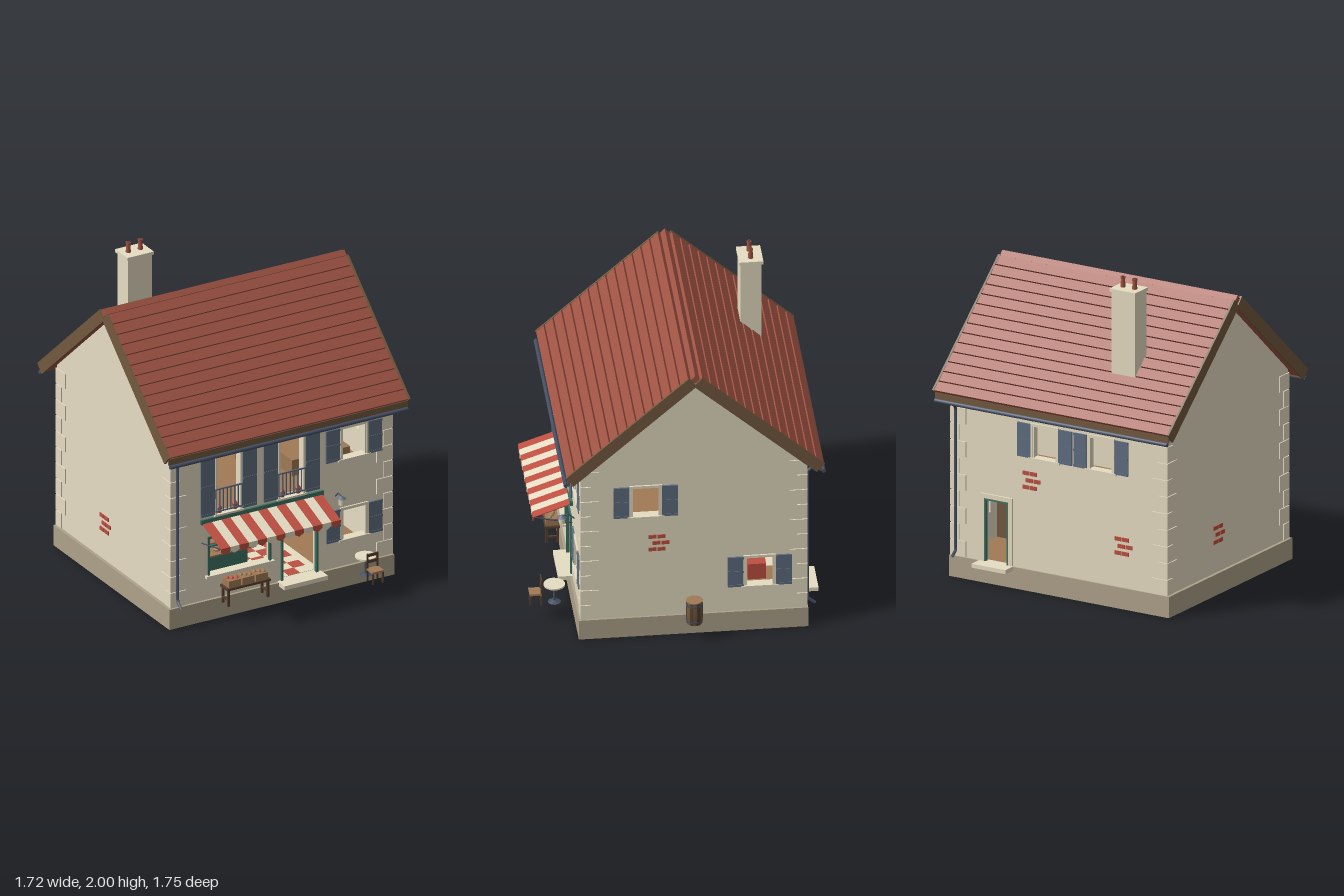
import * as THREE from 'three';
import { mergeGeometries } from 'three/addons/utils/BufferGeometryUtils.js';

const mat = (name, color) => {
  const m = new THREE.MeshStandardMaterial({ color });
  m.name = name;
  return m;
};

export function createModel() {
  const root = new THREE.Group();
  root.name = 'shopHouse';
  const M = {
    cream: mat('cream render', 0xe7ddc3), stone: mat('plinth stone', 0xaea28a),
    roof: mat('roof tile', 0x9e5242), red: mat('red', 0xbe5041),
    blue: mat('slate blue', 0x5f6d80), green: mat('shop green', 0x3d7464),
    timber: mat('roof timber', 0x73593f), dark: mat('dark wood', 0x563f2e),
    wood: mat('light wood', 0xa17a56), iron: mat('dark iron', 0x465064),
  };
  const add = (p, name, geo, m, x = 0, y = 0, z = 0) => {
    const o = new THREE.Mesh(geo, m);
    o.name = name;
    o.position.set(x, y, z);
    p.add(o);
    return o;
  };
  // Box given by its size and centre
  const box = (p, name, m, w, h, d, x, y, z) => add(p, name, new THREE.BoxGeometry(w, h, d), m, x, y, z);
  // Box given by its limits
  const span = (p, name, m, x0, x1, y0, y1, z0, z1) =>
    box(p, name, m, x1 - x0, y1 - y0, z1 - z0, (x0 + x1) / 2, (y0 + y1) / 2, (z0 + z1) / 2);
  const cyl = (p, name, m, rt, rb, h, n, x, y, z) => add(p, name, new THREE.CylinderGeometry(rt, rb, h, n), m, x, y, z);
  const tube = (p, name, m, pts, r) => {
    const path = new THREE.CurvePath();
    const v = pts.map(a => new THREE.Vector3(...a));
    for (let i = 1; i < v.length; i++) path.add(new THREE.LineCurve3(v[i - 1], v[i]));
    return add(p, name, new THREE.TubeGeometry(path, pts.length > 2 ? 40 : 1, r, 6), m);
  };
  const group = (name, x = 0, y = 0, z = 0, ry = 0) => {
    const g = new THREE.Group();
    g.name = name;
    g.position.set(x, y, z);
    g.rotation.y = ry;
    root.add(g);
    return g;
  };

  // House limits
  const X0 = -0.785, X1 = 0.735, Z0 = -0.765, Z1 = 0.585, RZ = -0.09, RY = 1.785, EAVE = 1.188;

  // Each wall group has local x along the wall and +z outward; openings are [centre, bottom, width, height]
  const front = group('frontWall', 0, 0, Z1);
  const back = group('backWall', 0, 0, Z0, Math.PI);
  const right = group('rightGableWall', X1, 0, 0, Math.PI / 2);
  const left = group('leftGableWall', X0, 0, 0, -Math.PI / 2);
  function wall(g, outline, holes) {
    const s = new THREE.Shape(outline.map(a => new THREE.Vector2(...a)));
    for (const [c, y, w, h] of holes) {
      s.holes.push(new THREE.Path([[c - w / 2, y], [c - w / 2, y + h], [c + w / 2, y + h], [c + w / 2, y]]
        .map(a => new THREE.Vector2(...a))));
    }
    add(g, 'wall', new THREE.ExtrudeGeometry(s, { depth: 0.045, bevelEnabled: false }), M.cream, 0, 0, -0.045);
  }
  const rect = (a, b) => [[a, 0.1], [b, 0.1], [b, EAVE], [a, EAVE]];
  const gable = (a, b, c) => [[a, 0.1], [b, 0.1], [b, EAVE], [c, RY], [a, EAVE]];
  wall(front, rect(X0, X1), [[-0.39, 0.68, 0.16, 0.375], [0.045, 0.68, 0.16, 0.375], [0.475, 0.84, 0.165, 0.2],
    [0.478, 0.31, 0.165, 0.195], [-0.315, 0.29, 0.43, 0.25], [0.1, 0.13, 0.24, 0.4]]);
  wall(back, rect(-X1, -X0), [[-0.075, 0.84, 0.165, 0.2], [0.322, 0.84, 0.165, 0.2], [-0.415, 0.13, 0.17, 0.4]]);
  wall(right, gable(-Z1, -Z0, -RZ), [[-0.2, 0.84, 0.165, 0.2], [0.485, 0.31, 0.165, 0.195]]);
  wall(left, gable(Z0, Z1, RZ), []);

  // Plinth and alternating corner stones
  span(root, 'plinth', M.stone, -0.805, 0.747, 0, 0.132, -0.775, 0.602);
  for (const sx of [-1, 1]) for (const sz of [-1, 1]) for (let i = 0; i < 10; i++) {
    const a = i % 2 ? 0.065 : 0.11, b = i % 2 ? 0.11 : 0.065, e = 0.007;
    box(root, 'cornerStone', M.cream, a, 0.098, b, sx < 0 ? X0 - e + a / 2 : X1 + e - a / 2, 0.183 + i * 0.104,
      sz < 0 ? Z0 - e + b / 2 : Z1 + e - b / 2);
  }

  // Surround of an opening
  function surround(g, m, c, y, w, h, t, d, name) {
    for (const s of [-1, 1]) box(g, name, m, t, h + t, d, c + s * (w + t) / 2, y + (h + t) / 2, 0);
    box(g, name, m, w, t, d, c, y + h + t / 2, 0);
  }
  function shutters(g, c, y, h) {
    for (const s of [-1, 1]) {
      const x = c + s * 0.145;
      box(g, 'shutter', M.blue, 0.095, h, 0.01, x, y + h / 2, 0.004);
      for (const k of [0.03, 0.5, 0.97]) box(g, 'shutterRail', M.blue, 0.095, 0.014, 0.014, x, y + h * k, 0.005);
    }
  }
  function windowAt(g, c, y, h = 0.2) {
    surround(g, M.cream, c, y, 0.165, h, 0.014, 0.02, 'windowSurround');
    box(g, 'windowSill', M.cream, 0.22, 0.014, 0.03, c, y - 0.007, 0.002);
    surround(g, M.cream, c, y, 0.153, h - 0.006, 0.006, 0.012, 'windowFrame');
    shutters(g, c, y - 0.004, h + 0.01);
  }
  windowAt(front, 0.475, 0.84);
  windowAt(front, 0.478, 0.31, 0.195);
  windowAt(back, -0.075, 0.84);
  windowAt(back, 0.322, 0.84);
  windowAt(right, -0.2, 0.84);
  windowAt(right, 0.485, 0.31, 0.195);

  // Tall upper windows with railings and flower pots
  for (const c of [-0.39, 0.045]) {
    surround(front, M.cream, c, 0.68, 0.16, 0.375, 0.014, 0.02, 'windowSurround');
    box(front, 'windowSill', M.cream, 0.2, 0.014, 0.05, c, 0.673, -0.01);
    shutters(front, c, 0.68, 0.39);
    for (const y of [0.7, 0.845]) box(front, 'railing', M.blue, 0.19, 0.008, 0.008, c, y, 0.01);
    for (let i = 0; i < 8; i++) box(front, 'railingBar', M.blue, 0.006, 0.15, 0.006, c - 0.091 + i * 0.026, 0.772, 0.01);
    for (const s of [-1, 1]) {
      cyl(front, 'flowerPot', M.roof, 0.019, 0.014, 0.035, 8, c + s * 0.055, 0.698, -0.014);
      cyl(front, 'potPlant', M.red, 0.006, 0.016, 0.018, 6, c + s * 0.055, 0.724, -0.014);
    }
  }

  // Shop window, doors and steps
  surround(front, M.green, -0.315, 0.29, 0.41, 0.24, 0.014, 0.02, 'shopWindowFrame');
  box(front, 'shopSill', M.cream, 0.47, 0.016, 0.04, -0.315, 0.283, 0.003);
  box(front, 'shopTransom', M.green, 0.41, 0.009, 0.015, -0.315, 0.48, 0);
  surround(front, M.green, 0.1, 0.13, 0.225, 0.39, 0.016, 0.02, 'shopDoorFrame');
  span(front, 'frontStep', M.cream, -0.05, 0.25, 0.11, 0.137, -0.03, 0.085);
  surround(back, M.cream, -0.415, 0.13, 0.17, 0.4, 0.028, 0.024, 'backDoorSurround');
  surround(back, M.green, -0.415, 0.13, 0.15, 0.388, 0.012, 0.02, 'backDoorFrame');
  span(back, 'backStep', M.cream, -0.535, -0.295, 0.11, 0.135, -0.03, 0.095);

  // Patches of bare brick
  function bricks(g, c, y) {
    for (let r = -1; r <= 1; r++) for (const s of [-1, 1])
      box(g, 'bareBrick', M.red, 0.047, 0.024, 0.008, c + s * 0.027 + (r ? -0.012 : 0.012), y + r * 0.044, 0.002);
  }
  bricks(right, -0.12, 0.645);
  bricks(back, -0.17, 0.69);
  bricks(back, 0.48, 0.39);
  bricks(left, -0.19, 0.37);

  // Roof slopes: local z runs down the slope, with a groove between tile rows
  const L = 0.985, ROWS = 14, RX0 = -0.862, RX1 = 0.81, step = L / ROWS;
  for (const ry of [0, Math.PI]) {
    const g = group('roofSlope', 0, RY, RZ);
    g.rotation.order = 'YXZ';
    g.rotation.set(0.724, ry, 0);
    const k = ry ? -1 : 1, cx = k * (RX0 + RX1) / 2, w = RX1 - RX0;
    box(g, 'roofDeck', M.roof, w - 0.024, 0.038, L - 0.01, cx, 0.019, L / 2);
    for (let i = 0; i < ROWS; i++)
      box(g, 'tileRow', M.roof, w - 0.022, 0.024, step - 0.009, cx, 0.046, (i + 0.5) * step).rotation.x = 0.04;
    for (const s of [-1, 1]) box(g, 'bargeBoard', M.timber, 0.014, 0.074, L, cx + s * (w / 2 - 0.007), 0.023, L / 2);
  }
  box(root, 'ridgeTiles', M.roof, RX1 - RX0 - 0.01, 0.038, 0.038, (RX0 + RX1) / 2, 1.82, RZ).rotation.x = Math.PI / 4;

  // Eaves boards, gutters and downpipes
  for (const [z, px, wz, k] of [[0.685, -0.745, Z1, 1], [-0.863, 0.7, Z0, -1]]) {
    box(root, 'eavesBoard', M.timber, 1.65, 0.04, 0.012, -0.026, 1.142, z - k * 0.018);
    cyl(root, 'gutter', M.iron, 0.013, 0.013, 1.64, 8, -0.03, 1.115, z).rotation.z = Math.PI / 2;
    const f = wz + k * 0.011;
    tube(root, 'downpipe', M.iron, [[px, 1.125, z - k * 0.03], [px, 1.065, f], [px, 0.17, f], [px, 0.135, f + k * 0.045]], 0.01);
  }

  // Chimney
  span(root, 'chimney', M.cream, -0.46, -0.295, 1.2, 1.92, -0.61, -0.482);
  span(root, 'chimneyCap', M.cream, -0.469, -0.286, 1.915, 1.935, -0.62, -0.475);
  for (const x of [-0.42, -0.337]) {
    cyl(root, 'chimneyPot', M.roof, 0.012, 0.017, 0.06, 8, x, 1.96, -0.548);
    cyl(root, 'chimneyPotRim', M.roof, 0.016, 0.016, 0.012, 8, x, 1.994, -0.548);
    cyl(root, 'chimneyPotMouth', M.dark, 0.011, 0.011, 0.002, 8, x, 2, -0.548);
  }

  // Striped awning with pointed valance
  const awning = group('awning');
  span(awning, 'awningBox', M.green, -0.585, 0.26, 0.637, 0.668, Z1 - 0.01, 0.602);
  const sw = 0.825 / 13, len = Math.hypot(0.23, 0.08);
  const flap = new THREE.Shape([[-sw / 2, 0], [-sw / 2, -0.025], [0, -0.045], [sw / 2, -0.025], [sw / 2, 0]]
    .map(a => new THREE.Vector2(...a)));
  for (let i = 0; i < 13; i++) {
    const m = i % 2 ? M.cream : M.red, x = -0.575 + (i + 0.5) * sw;
    box(awning, 'awningStripe', m, sw, 0.005, len, x, 0.605, 0.705).rotation.x = Math.atan2(0.08, 0.23);
    add(awning, 'valance', new THREE.ExtrudeGeometry(flap, { depth: 0.005, bevelEnabled: false }), m, x, 0.567, 0.816);
  }
  for (const x of [-0.57, 0.245]) tube(awning, 'awningArm', M.iron, [[x, 0.51, Z1], [x, 0.562, 0.815]], 0.004);

  // Wall lantern
  const lamp = group('lantern', 0.35, 0, 0.66);
  tube(lamp, 'lanternBracket', M.iron, [[0, 0.6, -0.08], [0, 0.638, -0.04], [0, 0.632, 0]], 0.004);
  cyl(lamp, 'lanternGlass', M.cream, 0.022, 0.018, 0.042, 6, 0, 0.597, 0);
  cyl(lamp, 'lanternCap', M.blue, 0.006, 0.03, 0.016, 6, 0, 0.625, 0);

  // Bread bench with crates
  const bench = group('bench', -0.315, 0, 0.66);
  box(bench, 'benchTop', M.dark, 0.3, 0.014, 0.09, 0, 0.222, 0);
  for (const x of [-0.135, 0.135]) {
    for (const z of [-0.034, 0.034]) box(bench, 'benchLeg', M.dark, 0.014, 0.11, 0.014, x, 0.165, z);
    box(bench, 'benchRail', M.dark, 0.012, 0.012, 0.07, x, 0.15, 0);
  }
  for (const x of [-0.093, 0, 0.093]) {
    box(bench, 'crate', M.wood, 0.085, 0.045, 0.076, x, 0.2515, 0);
    for (const s of [-1, 0, 1])
      add(bench, 'produce', new THREE.SphereGeometry(0.014, 8, 6), x < 0 ? M.red : M.wood, x + s * 0.025, 0.273, s * 0.012);
  }

  // Round table and chair
  const cafe = group('cafeSet', 0.48, 0, 0.72);
  cyl(cafe, 'tableTop', M.cream, 0.065, 0.065, 0.01, 16, 0, 0.232, 0);
  cyl(cafe, 'tablePost', M.iron, 0.007, 0.007, 0.11, 8, 0, 0.172, 0);
  cyl(cafe, 'tableFoot', M.iron, 0.01, 0.04, 0.012, 8, 0, 0.117, 0);
  box(cafe, 'chairSeat', M.wood, 0.08, 0.012, 0.075, 0, 0.187, 0.115);
  for (const s of [-1, 1]) {
    box(cafe, 'chairBackPost', M.dark, 0.01, 0.175, 0.01, s * 0.034, 0.198, 0.08);
    box(cafe, 'chairLeg', M.dark, 0.01, 0.072, 0.01, s * 0.034, 0.147, 0.146);
  }
  for (const y of [0.235, 0.275]) box(cafe, 'chairBackRail', M.dark, 0.076, 0.018, 0.008, 0, y, 0.08);

  // Rain barrel of alternating staves
  const barrel = group('barrel', 0.805, 0.113, -0.085);
  const R = y => 0.048 + 0.004 * Math.sin(Math.PI * y / 0.155);
  const profile = [0, 0.04, 0.078, 0.116, 0.155].map(y => new THREE.Vector2(R(y), y));
  for (let i = 0; i < 14; i++)
    add(barrel, 'barrelStave', new THREE.LatheGeometry(profile, 1, i * Math.PI / 7, Math.PI / 7), i % 2 ? M.timber : M.dark);
  cyl(barrel, 'barrelLid', M.wood, 0.05, 0.05, 0.006, 14, 0, 0.154, 0);
  cyl(barrel, 'barrelBase', M.dark, 0.047, 0.047, 0.006, 14, 0, 0.003, 0);
  for (const y of [0.02, 0.13]) cyl(barrel, 'barrelHoop', M.iron, R(y) + 0.002, R(y) + 0.002, 0.01, 14, 0, y, 0);

  // Interior floors, ceiling and partition, with chequered tiles in the shop
  span(root, 'upperFloor', M.wood, X0 + 0.04, X1 - 0.04, 0.63, 0.665, Z0 + 0.04, Z1 - 0.04);
  span(root, 'shopFloor', M.cream, X0 + 0.04, 0.26, 0.12, 0.134, Z0 + 0.04, Z1 - 0.04);
  span(root, 'kitchenFloor', M.wood, 0.26, X1 - 0.04, 0.12, 0.134, Z0 + 0.04, Z1 - 0.04);
  span(root, 'ceiling', M.cream, X0 + 0.04, X1 - 0.04, 1.13, 1.15, Z0 + 0.04, Z1 - 0.04);
  span(root, 'landingPartition', M.cream, -0.2, X1 - 0.04, 0.665, 1.13, -0.24, -0.22);
  const tiles = [];
  for (let i = 0; i < 12; i++) for (let j = 0; j < 16; j++) if ((i + j) % 2)
    tiles.push(new THREE.BoxGeometry(0.079, 0.004, 0.079).translate(-0.7 + i * 0.079, 0.134, -0.68 + j * 0.079));
  add(root, 'redFloorTiles', mergeGeometries(tiles), M.red);

  // Bread shelves behind the shop window
  const shelf = group('breadShelves');
  span(shelf, 'shelfBack', M.green, -0.455, -0.1, 0.134, 0.56, 0.3, 0.315);
  for (const y of [0.31, 0.395]) {
    span(shelf, 'shelfBoard', M.wood, -0.455, -0.1, y, y + 0.01, 0.315, 0.42);
    for (let i = 0; i < 5; i++)
      add(shelf, 'loaf', new THREE.SphereGeometry(0.024, 8, 6).scale(1, 0.6, 1.2), M.wood, -0.415 + i * 0.068, y + 0.023, 0.37);
  }

  // Simple furniture
  span(root, 'shopCounter', M.wood, -0.6, -0.15, 0.134, 0.27, -0.2, -0.08);
  span(root, 'armchairSeat', M.red, 0.3, 0.4, 0.134, 0.24, -0.56, -0.45);
  span(root, 'armchairBack', M.red, 0.28, 0.31, 0.134, 0.41, -0.56, -0.49);
  span(root, 'sideChair', M.wood, 0.4, 0.45, 0.134, 0.36, 0, 0.05);
  span(root, 'bookcase', M.timber, 0.58, 0.69, 0.134, 0.5, -0.33, -0.1);
  span(root, 'dresser', M.timber, 0.03, 0.13, 0.665, 0.9, -0.05, 0.08);
  span(root, 'bedBase', M.wood, 0.2, 0.6, 0.665, 0.77, 0.08, 0.33);
  for (let i = 0; i < 5; i++)
    span(root, 'stripedCover', i % 2 ? M.cream : M.red, 0.03 + i * 0.02, 0.05 + i * 0.02, 0.69, 0.82, 0.2, 0.24);
  span(root, 'chest', M.timber, -0.7, -0.5, 0.665, 0.86, 0, 0.3);
  for (const [x, y, z, top] of [[0.3, 1.02, 0.2, 1.13], [0.33, 0.48, -0.5, 0.63], [-0.17, 0.48, 0.46, 0.63]]) {
    cyl(root, 'lampShade', M.blue, 0.01, 0.04, 0.025, 10, x, y, z);
    cyl(root, 'lampCord', M.iron, 0.002, 0.002, top - y, 5, x, (top + y) / 2, z);
  }
  return root;
}
